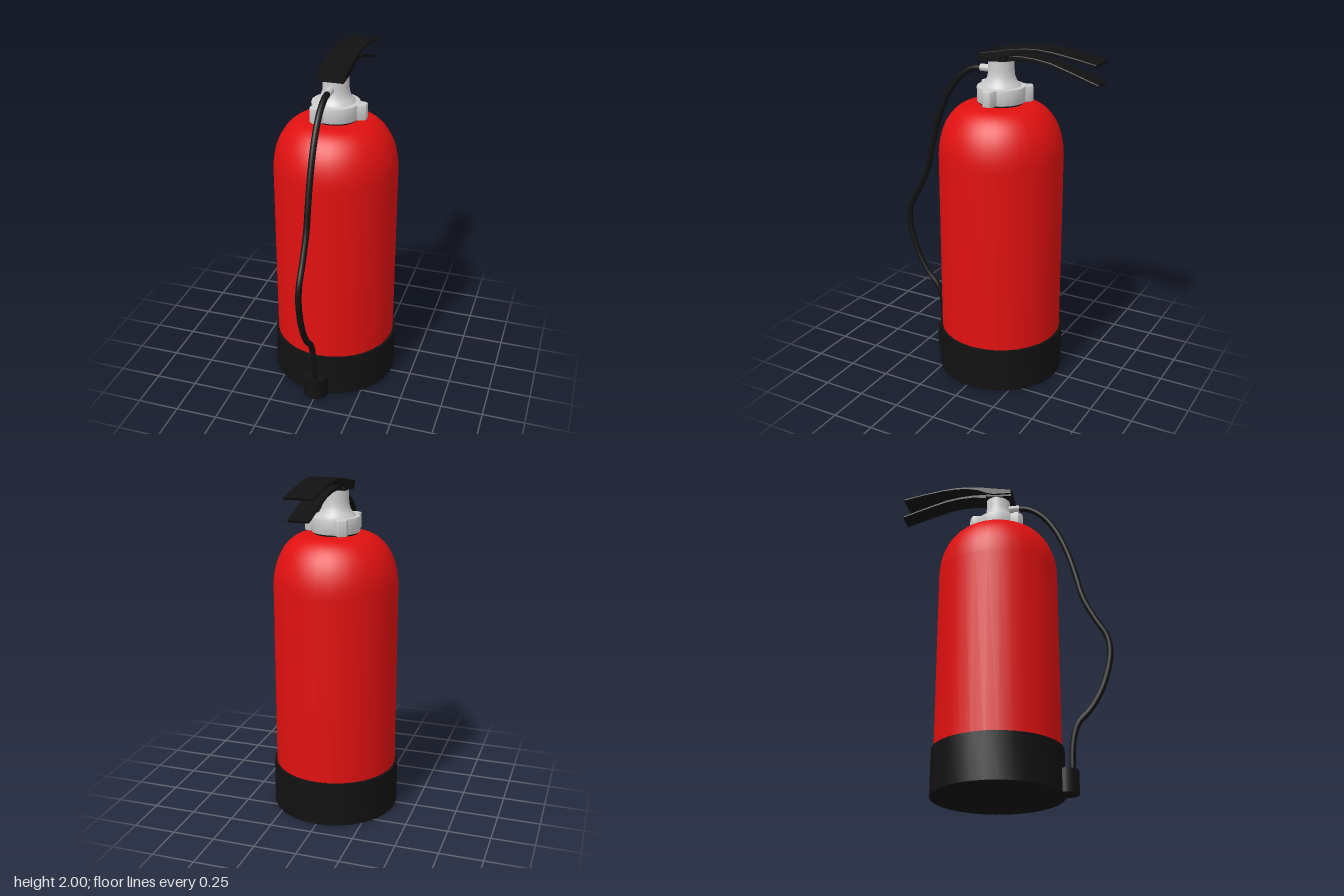
import * as THREE from 'three';
import { toCreasedNormals } from 'three/addons/utils/BufferGeometryUtils.js';

const AXIS_Z = -0.032; // centre line of the cylinder

const red = new THREE.MeshStandardMaterial({ color: 0xe01010 });
const black = new THREE.MeshStandardMaterial({ color: 0x111111 });
const grey = new THREE.MeshStandardMaterial({ color: 0xcccccc });

const vec2 = (pts) => pts.map(([x, y]) => new THREE.Vector2(x, y));

export function createModel() {
  const model = new THREE.Group();
  model.name = 'fireExtinguisher';

  const add = (name, geometry, material, x = 0, y = 0, z = 0) => {
    const mesh = new THREE.Mesh(geometry, material);
    mesh.name = name;
    mesh.position.set(x, y, z);
    model.add(mesh);
    return mesh;
  };
  const lathe = (pts, segments = 32) =>
    toCreasedNormals(new THREE.LatheGeometry(vec2(pts), segments), 0.6);

  // Tank: straight wall, elliptical shoulder and a flat top
  const tank = [[0, 0.02], [0.36, 0.02], [0.36, 1.36]];
  for (let i = 1; i <= 12; i++) {
    const a = (i / 12) * Math.PI / 2;
    tank.push([0.16 + 0.2 * Math.cos(a), 1.36 + 0.3 * Math.sin(a)]);
  }
  tank.push([0, 1.66]);
  add('tank', lathe(tank), red, 0, 0, AXIS_Z);

  // Base boot with a small cup for the hose end
  add('baseBoot', lathe([[0, 0], [0.375, 0], [0.375, 0.265], [0.355, 0.265]]), black, 0, 0, AXIS_Z);
  add('hoseCup', new THREE.CylinderGeometry(0.074, 0.074, 0.132, 20), black, -0.008, 0.066, 0.346);

  // Collar nut: disc with three rounded lugs
  const outline = [];
  for (let i = 0; i < 120; i++) {
    const a = (i / 120) * Math.PI * 2;
    const third = Math.PI * 2 / 3;
    const off = Math.abs(a - Math.round(a / third) * third);
    const lug = 1 - THREE.MathUtils.smoothstep(off, 0.11, 0.27);
    const r = 0.131 + 0.042 * lug;
    outline.push([r * Math.cos(a), r * Math.sin(a)]);
  }
  const collar = new THREE.ExtrudeGeometry(new THREE.Shape(vec2(outline)), {
    depth: 0.076, bevelThickness: 0.008, bevelSize: 0.007, bevelSegments: 2,
  });
  collar.rotateX(-Math.PI / 2);
  add('collarNut', toCreasedNormals(collar, 0.6), grey, 0, 1.677, AXIS_Z);
  add('collarSeat', new THREE.CylinderGeometry(0.125, 0.125, 0.03, 32), black, 0, 1.662, AXIS_Z);

  // Valve neck flaring into the collar
  add('valveNeck', lathe([
    [0.115, 1.755], [0.108, 1.768], [0.095, 1.78], [0.084, 1.798],
    [0.077, 1.82], [0.074, 1.85], [0.074, 1.92], [0, 1.92],
  ]), grey, 0, 0, AXIS_Z);

  // Hose fitting
  const fitting = new THREE.CylinderGeometry(0.021, 0.021, 0.13, 16);
  fitting.rotateX(Math.PI / 2);
  add('hoseFitting', fitting, grey, -0.008, 1.845, 0.038);

  // Hose hanging down the front, given as [z, y]
  const path = [
    [0.08, 1.845], [0.16, 1.832], [0.25, 1.77], [0.33, 1.655], [0.395, 1.5],
    [0.44, 1.34], [0.48, 1.18], [0.545, 1.04], [0.61, 0.92], [0.622, 0.81],
    [0.575, 0.62], [0.5, 0.485], [0.425, 0.4], [0.393, 0.29], [0.383, 0.1],
  ].map(([z, y]) => new THREE.Vector3(-0.008, y, z));
  add('hose', new THREE.TubeGeometry(new THREE.CatmullRomCurve3(path), 100, 0.018, 12), black);

  // Levers: side profile [z, y] extruded across the width
  const lever = (name, pts, width) => {
    const bevel = 0.004;
    const geo = new THREE.ExtrudeGeometry(new THREE.Shape(vec2(pts)), {
      depth: width - 2 * bevel, bevelThickness: bevel, bevelSize: bevel,
      bevelOffset: -bevel, bevelSegments: 1,
    });
    geo.translate(0, 0, -width / 2 + bevel);
    geo.rotateY(-Math.PI / 2);
    add(name, toCreasedNormals(geo, 0.5), black);
  };
  lever('squeezeLever', [
    [0.065, 1.915], [0.065, 1.947], [-0.03, 1.965], [-0.13, 1.986], [-0.22, 1.997],
    [-0.29, 2.0], [-0.38, 1.993], [-0.5, 1.975], [-0.635, 1.95], [-0.628, 1.937],
    [-0.5, 1.96], [-0.38, 1.977], [-0.29, 1.982], [-0.22, 1.977], [-0.15, 1.96],
    [-0.1, 1.935], [-0.05, 1.92],
  ], 0.166);
  lever('carryHandle', [
    [0.062, 1.9], [0.062, 1.925], [-0.05, 1.94], [-0.18, 1.947], [-0.27, 1.942],
    [-0.36, 1.928], [-0.5, 1.885], [-0.643, 1.838], [-0.635, 1.825], [-0.5, 1.868],
    [-0.36, 1.908], [-0.27, 1.922], [-0.18, 1.924], [-0.1, 1.91],
  ], 0.118);

  // Front cheeks and block joining the two levers above the valve
  lever('leverBlock', [
    [0.065, 1.897], [0.065, 1.942], [-0.04, 1.955], [-0.1, 1.94], [-0.1, 1.91],
  ], 0.15);

  return model;
}
